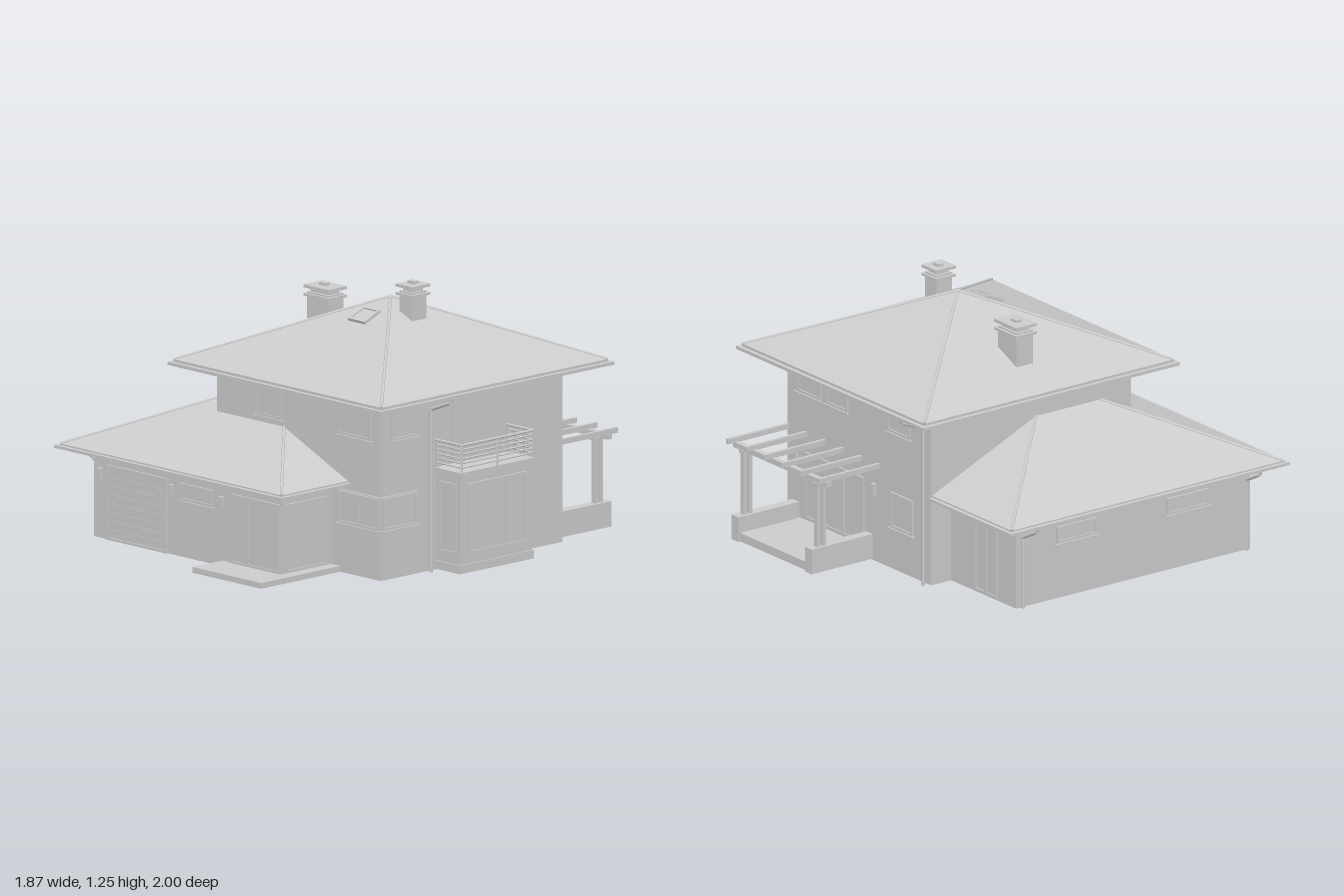
import * as THREE from 'three';

const mat = new THREE.MeshStandardMaterial({ color: 0xcccccc, flatShading: true, side: THREE.DoubleSide });
const FRONT = 0, RIGHT = Math.PI / 2, BACK = Math.PI, LEFT = -Math.PI / 2;

export function createModel() {
  const model = new THREE.Group();
  model.name = 'house';

  const add = (name, geo, parent = model) => {
    const m = new THREE.Mesh(geo, mat);
    m.name = name;
    parent.add(m);
    return m;
  };
  const group = (name) => {
    const g = new THREE.Group();
    g.name = name;
    model.add(g);
    return g;
  };
  // Box given by its minimum and maximum on each axis
  const box = (name, x0, x1, y0, y1, z0, z1, parent) => {
    const g = new THREE.BoxGeometry(x1 - x0, y1 - y0, z1 - z0);
    g.translate((x0 + x1) / 2, (y0 + y1) / 2, (z0 + z1) / 2);
    return add(name, g, parent);
  };
  // Flat plan outline of [x, z] points, extruded upward; optional wall thickness makes it hollow
  const plan = (name, pts, y0, y1, wall = 0) => {
    const v = pts.map(([x, z]) => new THREE.Vector2(x, -z));
    const shape = new THREE.Shape(v);
    if (wall) {
      const inward = (a, b) => {
        const d = b.clone().sub(a).normalize();
        return new THREE.Vector2(-d.y, d.x);
      };
      const n = v.length;
      shape.holes.push(new THREE.Path(v.map((p, i) => p.clone()
        .addScaledVector(inward(v[(i + n - 1) % n], p), wall)
        .addScaledVector(inward(p, v[(i + 1) % n]), wall))));
    }
    const g = new THREE.ExtrudeGeometry(shape, { depth: y1 - y0, bevelEnabled: false });
    g.rotateX(-Math.PI / 2).translate(0, y0, 0);
    return add(name, g);
  };
  // Planar roof faces, turned to look upward
  const faces = (name, polys) => {
    const pos = [];
    for (const p of polys) {
      for (let i = 1; i < p.length - 1; i++) {
        const [a, b, c] = [p[0], p[i], p[i + 1]].map((q) => new THREE.Vector3(...q));
        const up = b.clone().sub(a).cross(c.clone().sub(a)).y > 0;
        for (const q of up ? [a, b, c] : [a, c, b]) pos.push(q.x, q.y, q.z);
      }
    }
    const g = new THREE.BufferGeometry();
    g.setAttribute('position', new THREE.Float32BufferAttribute(pos, 3));
    g.computeVertexNormals();
    return add(name, g);
  };
  // Round bar through a list of points
  const bar = (name, pts, r, parent) => {
    for (let i = 0; i < pts.length - 1; i++) {
      const a = new THREE.Vector3(...pts[i]), b = new THREE.Vector3(...pts[i + 1]);
      const d = b.clone().sub(a);
      const m = add(name, new THREE.CylinderGeometry(r, r, d.length(), 8), parent);
      m.position.copy(a).addScaledVector(d, 0.5);
      m.quaternion.setFromUnitVectors(new THREE.Vector3(0, 1, 0), d.normalize());
    }
  };
  // Framed opening on a wall: u runs along x or z of the wall, "at" is the wall plane
  const opening = (name, side, at, u0, u1, y0, y1, panes = 1, sill = true) => {
    const g = group(name), w = u1 - u0, f = 0.012, u = (u0 + u1) / 2;
    box('pane', -w / 2, w / 2, y0, y1, -0.035, 0.003, g);
    for (const y of [y0, y1 - f]) box('frameRail', -w / 2, w / 2, y, y + f, -0.04, 0.009, g);
    for (let i = 0; i <= panes; i++) {
      const x = -w / 2 + f / 2 + (i * (w - f)) / panes;
      box('frameStile', x - f / 2, x + f / 2, y0, y1, -0.04, 0.009, g);
    }
    if (sill) box('sill', -w / 2 - 0.008, w / 2 + 0.008, y0 - 0.008, y0, 0, 0.016, g);
    g.rotation.y = side;
    if (side === FRONT || side === BACK) g.position.set(u, 0, at);
    else g.position.set(at, 0, u);
    return g;
  };

  // Walls: hollow and open at the ground
  plan('groundFloorWalls', [[-0.805, 0.81], [0.43, 0.81], [0.43, 0.5], [0.755, 0.5], [0.755, -0.645],
    [-0.32, -0.645], [-0.32, -0.53], [-0.805, -0.53]], 0, 0.42, 0.025);
  plan('upperFloorWalls', [[-0.32, 0.5], [0.755, 0.5], [0.755, -0.645], [-0.32, -0.645]], 0.41, 0.835, 0.025);

  // Lower roof wrapping round the upper floor
  const eaves = (k) => [[-0.935 + k, 0.94 - k], [0.56 - k, 0.94 - k], [0.56 - k, 0.5], [-0.32, 0.5],
    [-0.32, -0.66 + k], [-0.935 + k, -0.66 + k]];
  plan('lowerGutter', eaves(0), 0.412, 0.425);
  plan('lowerEaves', eaves(0.02), 0.425, 0.432);
  const y0 = 0.432, yF = 0.615, yL = 0.688;
  const fl = [-0.915, y0, 0.92], fr = [0.54, y0, 0.92], bl = [-0.915, y0, -0.64];
  const hipL = [-0.32, yL, 0.325], hipB = [-0.32, yL, -0.045], hipR = [0.12, yF, 0.5];
  faces('lowerRoof', [
    [fl, fr, hipR, [-0.32, yF, 0.5], hipL],
    [fl, hipL, hipB, bl],
    [fr, [0.54, y0, 0.5], hipR],
    [bl, hipB, [-0.32, y0, -0.64]],
  ]);
  for (const h of [[fl, hipL], [fr, hipR], [bl, hipB]]) bar('lowerHipCap', h, 0.007);

  // Upper pyramid roof
  box('upperGutter', -0.485, 0.92, 0.828, 0.843, -0.815, 0.655);
  box('upperEaves', -0.465, 0.9, 0.843, 0.855, -0.795, 0.635);
  const apex = [0.217, 1.15, -0.08];
  const corners = [[-0.465, 0.855, 0.635], [0.9, 0.855, 0.635], [0.9, 0.855, -0.795], [-0.465, 0.855, -0.795]];
  faces('upperRoof', corners.map((c, i) => [c, corners[(i + 1) % 4], apex]));
  for (const c of corners) bar('upperHipCap', [c, apex], 0.007);

  // Roof window on the front slope
  const sky = group('roofWindow');
  for (const s of [-1, 1]) {
    box('frame', -0.055, 0.055, -0.01, 0.012, s * 0.048 - 0.006, s * 0.048 + 0.006, sky);
    box('frame', s * 0.049 - 0.006, s * 0.049 + 0.006, -0.01, 0.012, -0.054, 0.054, sky);
  }
  box('glass', -0.05, 0.05, -0.01, 0.006, -0.05, 0.05, sky);
  sky.position.set(0.22, 1.083, 0.088);
  sky.rotation.x = Math.atan(0.295 / 0.715);

  // Chimneys: shaft, band, raised cap and flue
  const chimney = (x0, x1, z0, z1, base, top) => {
    const g = group('chimney'), e = 0.012;
    box('shaft', x0, x1, base, top, z0, z1, g);
    box('band', x0 - e, x1 + e, top - 0.02, top - 0.008, z0 - e, z1 + e, g);
    box('neck', x0 + e, x1 - e, top, top + 0.02, z0 + e, z1 - e, g);
    box('cap', x0 - e, x1 + e, top + 0.018, top + 0.032, z0 - e, z1 + e, g);
    const x = x0 + (x1 - x0) * 0.45;
    box('flue', x - 0.02, x + 0.02, top + 0.032, top + 0.045, -0.1, -0.07, g);
  };
  chimney(-0.287, -0.147, -0.13, -0.035, 0.9, 1.095);
  chimney(0.32, 0.405, -0.125, -0.035, 1.0, 1.2);

  // Upper windows
  opening('upperWindow', FRONT, 0.5, -0.06, 0.11, 0.645, 0.81);
  opening('upperWindow', FRONT, 0.5, 0.48, 0.695, 0.645, 0.81);
  opening('upperWindow', RIGHT, 0.755, 0.27, 0.435, 0.645, 0.81);
  opening('balconyDoor', RIGHT, 0.755, -0.2, 0.05, 0.48, 0.8, 2, false);
  for (const [a, b] of [[0.5, 0.68], [0.3, 0.46], [-0.17, 0.0]]) opening('upperWindow', BACK, -0.645, a, b, 0.66, 0.8);

  // Ground-floor windows and doors
  opening('frontWindow', FRONT, 0.81, -0.235, -0.02, 0.265, 0.345);
  for (const [a, b] of [[-0.3, -0.07], [0.33, 0.57]]) opening('sideWindow', LEFT, -0.805, a, b, 0.265, 0.345);
  opening('backWindow', BACK, -0.645, -0.19, -0.02, 0.2, 0.37);
  opening('terraceDoors', BACK, -0.645, 0.18, 0.62, 0.06, 0.38, 3, false);
  opening('backDoor', BACK, -0.53, -0.67, -0.5, 0.01, 0.35, 2, false);
  opening('entranceDoors', FRONT, 0.81, 0.1, 0.42, 0.025, 0.35, 3, false);
  opening('entranceSideGlazing', RIGHT, 0.43, 0.53, 0.79, 0.03, 0.35, 2, false);

  // Garage door with horizontal panels
  const garage = opening('garageDoor', FRONT, 0.81, -0.72, -0.32, 0, 0.35, 1, false);
  for (let i = 0; i < 8; i++) box('panel', -0.19, 0.19, 0.014 + i * 0.041, 0.05 + i * 0.041, 0, 0.006, garage);

  // Wall lamps
  for (const x of [-0.757, -0.29, 0.04]) box('wallLamp', x - 0.011, x + 0.011, 0.275, 0.328, 0.81, 0.83);
  for (const x of [0.1, 0.68]) box('wallLamp', x - 0.011, x + 0.011, 0.32, 0.375, -0.665, -0.645);

  // Corner window bay
  box('cornerBay', 0.48, 0.765, 0.225, 0.39, 0.27, 0.51);
  opening('cornerWindow', FRONT, 0.51, 0.49, 0.76, 0.235, 0.385, 2);
  opening('cornerWindow', RIGHT, 0.765, 0.285, 0.5, 0.235, 0.385);

  // Entrance step
  box('entranceStep', 0.04, 0.49, 0, 0.027, 0.49, 1);

  // Glazed bay carrying the balcony
  box('bayBase', 0.75, 0.922, 0.005, 0.045, -0.305, 0.16);
  box('bayWalls', 0.75, 0.915, 0.045, 0.432, -0.297, 0.152);
  opening('bayGlazing', RIGHT, 0.915, -0.26, 0.11, 0.09, 0.42, 3, false);
  opening('bayGlazing', FRONT, 0.152, 0.78, 0.895, 0.09, 0.42, 1, false);
  opening('bayGlazing', BACK, -0.297, 0.78, 0.895, 0.09, 0.42, 1, false);
  box('balconySlab', 0.75, 0.93, 0.432, 0.478, -0.308, 0.163);
  const rail = group('balconyRailing');
  for (let i = 0; i < 6; i++) {
    const y = 0.5 + i * 0.021;
    bar('rail', [[0.755, y, 0.15], [0.922, y, 0.15], [0.922, y, -0.298], [0.755, y, -0.298]], i === 5 ? 0.006 : 0.004, rail);
  }
  for (const [x, z] of [[0.765, 0.15], [0.922, 0.15], [0.922, -0.074], [0.922, -0.298], [0.765, -0.298]])
    bar('railPost', [[x, 0.47, z], [x, 0.608, z]], 0.006, rail);

  // Back terrace and pergola
  box('terraceFloor', 0.12, 0.7, 0.01, 0.05, -0.99, -0.64);
  const pergola = group('pergola');
  for (const x of [0.135, 0.685]) {
    box('terraceSideWall', x - 0.025, x + 0.025, 0.008, 0.127, -1, -0.65);
    for (const z of [-0.918, -0.95]) box('post', x - 0.012, x + 0.012, 0.12, 0.435, z - 0.009, z + 0.009, pergola);
    box('postCap', x - 0.018, x + 0.018, 0.42, 0.435, -0.963, -0.902, pergola);
  }
  box('crossBeam', 0.055, 0.757, 0.432, 0.458, -0.957, -0.93, pergola);
  for (let i = 0; i < 6; i++) {
    const x = 0.07 + i * 0.136;
    box('rafter', x - 0.008, x + 0.008, 0.455, 0.48, -0.995, -0.645, pergola);
  }

  // Downpipes
  for (const z of [-0.5, 0.78]) bar('downpipe', [[-0.925, 0.415, z], [-0.92, 0.395, z], [-0.82, 0.345, z], [-0.82, 0, z]], 0.008);
  bar('downpipe', [[0.91, 0.83, 0.205], [0.905, 0.81, 0.205], [0.78, 0.76, 0.205], [0.78, 0, 0.205]], 0.008);
  bar('downpipe', [[-0.3, 0.83, -0.805], [-0.3, 0.81, -0.795], [-0.3, 0.76, -0.675], [-0.3, 0, -0.675]], 0.008);

  return model;
}
